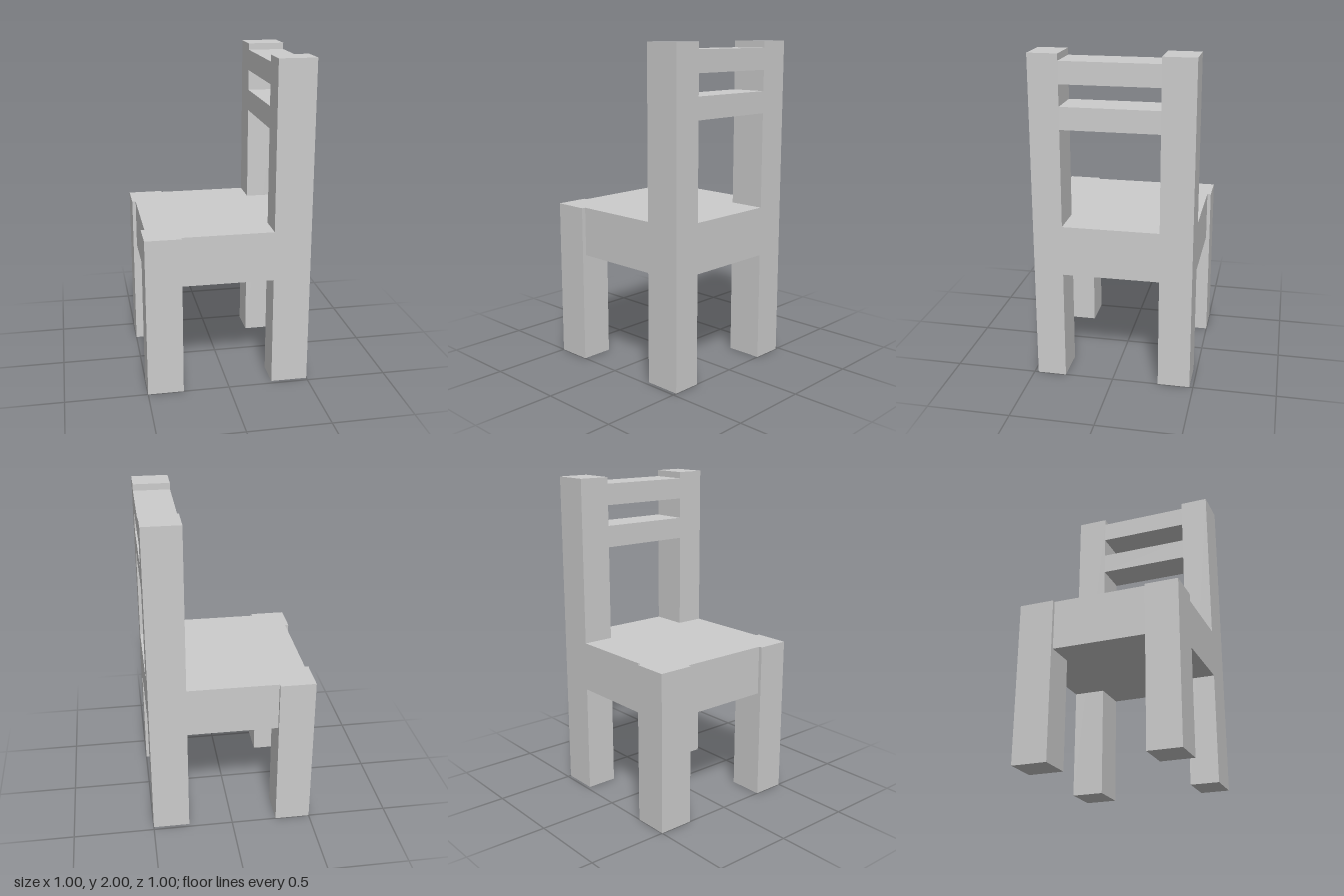
import * as THREE from 'three';

const material = new THREE.MeshStandardMaterial({ color: 0xcccccc, flatShading: true });

// Inner faces of the legs on each side, and the main levels
const Z_LEFT = -0.283, Z_RIGHT = 0.298;
const SIDE_BACK = -0.478, SIDE_FRONT = 0.475;
const LEG_X = -0.282, POST_X = 0.274, SEAT_X = -0.478;
const SEAT_LOW = 0.68, SEAT_TOP = 0.985;

// Box given by its limits on each axis
function block(name, [x0, x1], [y0, y1], [z0, z1]) {
  const mesh = new THREE.Mesh(new THREE.BoxGeometry(x1 - x0, y1 - y0, z1 - z0), material);
  mesh.position.set((x0 + x1) / 2, (y0 + y1) / 2, (z0 + z1) / 2);
  mesh.name = name;
  return mesh;
}

// Thick seat with corners cut out where the legs and posts pass
function createSeat() {
  const outline = [
    [SEAT_X, Z_LEFT], [LEG_X, Z_LEFT], [LEG_X, SIDE_BACK], [POST_X, SIDE_BACK],
    [POST_X, Z_LEFT], [0.5, Z_LEFT], [0.5, Z_RIGHT], [POST_X, Z_RIGHT],
    [POST_X, SIDE_FRONT], [LEG_X, SIDE_FRONT], [LEG_X, Z_RIGHT], [SEAT_X, Z_RIGHT],
  ].map(([x, z]) => new THREE.Vector2(x, z));
  const geometry = new THREE.ExtrudeGeometry(new THREE.Shape(outline), {
    depth: SEAT_TOP - SEAT_LOW, bevelEnabled: false,
  });
  geometry.rotateX(Math.PI / 2).translate(0, SEAT_TOP, 0);
  const seat = new THREE.Mesh(geometry, material);
  seat.name = 'seat';
  return seat;
}

export function createModel() {
  const chair = new THREE.Group();
  chair.name = 'chair';
  chair.add(createSeat());

  // Short legs stand proud of the seat
  chair.add(block('shortLegA', [-0.5, LEG_X], [0, SEAT_TOP], [-0.5, Z_LEFT]));
  chair.add(block('shortLegB', [-0.5, LEG_X], [0, SEAT_TOP], [Z_RIGHT, 0.5]));

  // Tall legs continue up as backrest posts
  chair.add(block('backPostA', [POST_X, 0.5], [0, 2], [SIDE_BACK, Z_LEFT]));
  chair.add(block('backPostB', [POST_X, 0.5], [0, 2], [Z_RIGHT, SIDE_FRONT]));

  // Backrest slats between the posts
  chair.add(block('lowerSlat', [POST_X, 0.5], [1.57, 1.703], [Z_LEFT, Z_RIGHT]));
  chair.add(block('upperSlat', [POST_X, 0.5], [1.83, 1.96], [Z_LEFT, Z_RIGHT]));

  return chair;
}
